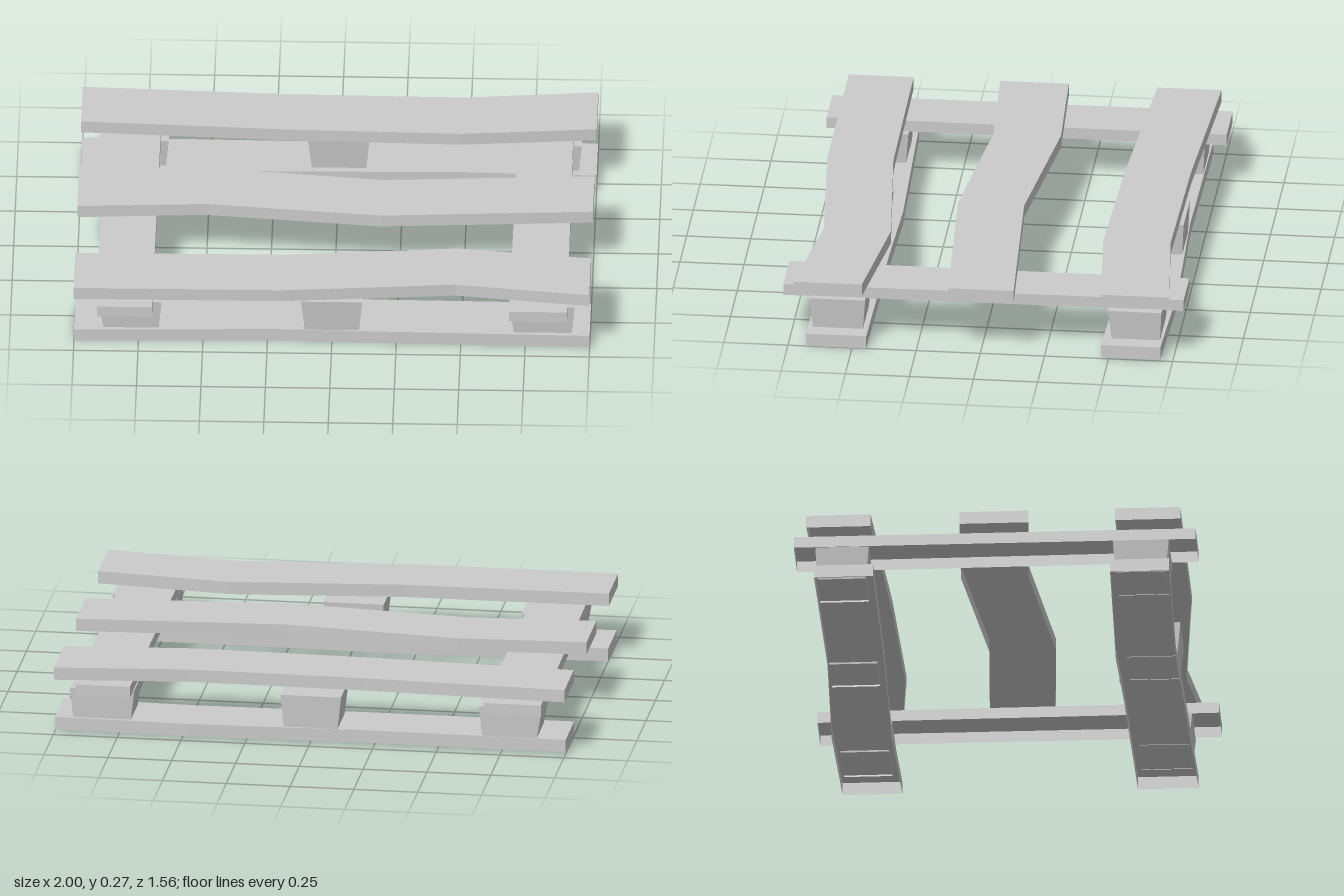
import * as THREE from 'three';

const material = new THREE.MeshStandardMaterial({
  color: 0xcccccc, flatShading: true, side: THREE.DoubleSide,
});

// Open-bottomed shell: outlines list [x, z] along the back edge left to right,
// then along the front edge right to left.
function shell(name, bottom, top, y0, y1) {
  const pos = [];
  const lo = bottom.map(([x, z]) => [x, y0, z]);
  const hi = top.map(([x, z]) => [x, y1, z]);
  const quad = (a, b, c, d) => pos.push(...a, ...b, ...c, ...a, ...c, ...d);
  const n = top.length;
  for (let i = 0; i < n; i++) {
    const j = (i + 1) % n;
    quad(lo[i], hi[i], hi[j], lo[j]);
  }
  for (let i = 0; i < n / 2 - 1; i++) {
    quad(hi[i], hi[n - 1 - i], hi[n - 2 - i], hi[i + 1]);
  }
  const geometry = new THREE.BufferGeometry();
  geometry.setAttribute('position', new THREE.Float32BufferAttribute(pos, 3));
  geometry.computeVertexNormals();
  const mesh = new THREE.Mesh(geometry, material);
  mesh.name = name;
  return mesh;
}

// Wavy plank from stations [x, back z, front z]
function plank(name, stations, y0, y1) {
  const back = stations.map(([x, b]) => [x, b]);
  const front = stations.map(([x, , f]) => [x, f]).reverse();
  const outline = [...back, ...front];
  return shell(name, outline, outline, y0, y1);
}

const rect = (x0, x1, z0, z1) => [[x0, z0], [x1, z0], [x1, z1], [x0, z1]];

export function createModel() {
  const group = new THREE.Group();
  group.name = 'pallet';

  // Deck boards on top
  group.add(
    plank('backDeckBoard', [[-1, -0.73, -0.48], [-0.2, -0.695, -0.44], [0.48, -0.687, -0.425], [1, -0.737, -0.47]], 0.22, 0.27),
    plank('middleDeckBoard', [[-1, -0.135, 0.133], [-0.5, -0.157, 0.105], [0.18, -0.085, 0.173], [1, -0.13, 0.125]], 0.22, 0.27),
    plank('frontDeckBoard', [[-1, 0.47, 0.723], [-0.2, 0.465, 0.722], [0.48, 0.403, 0.665], [1, 0.462, 0.729]], 0.22, 0.27),
  );

  // Cross boards under the deck, slightly tapered
  const rightCross = [[-0.915, -0.783], [-0.69, -0.783], [-0.695, 0.777], [-0.908, 0.777]];
  const leftCross = [[0.695, -0.783], [0.907, -0.783], [0.915, 0.777], [0.69, 0.777]];
  group.add(
    shell('rightCrossBoard', rightCross, rightCross, 0.175, 0.22),
    shell('leftCrossBoard', leftCross, leftCross, 0.175, 0.22),
  );

  // Bottom runners
  group.add(
    plank('frontRunner', [[-1, 0.45, 0.68], [-0.2, 0.427, 0.66], [0.2, 0.437, 0.668], [1, 0.445, 0.68]], 0, 0.052),
    plank('backRunner', [[-1, -0.7, -0.47], [-0.2, -0.693, -0.472], [0.48, -0.715, -0.483], [1, -0.702, -0.47]], 0.006, 0.057),
  );

  // Tapered spacer blocks: x range at the bottom, x range at the top
  const columns = [
    ['right', -0.885, -0.672, -0.907, -0.66],
    ['middle', -0.105, 0.105, -0.12, 0.118],
    ['left', 0.705, 0.93, 0.69, 0.942],
  ];
  // z range at the bottom, z range at the top
  const rows = [
    ['Front', 0.465, 0.66, 0.455, 0.673],
    ['Back', -0.693, -0.505, -0.7, -0.492],
  ];
  for (const [side, bx0, bx1, tx0, tx1] of columns) {
    for (const [end, bz0, bz1, tz0, tz1] of rows) {
      const top = side === 'middle' ? 0.188 : 0.177;
      group.add(shell(`${side}${end}Block`, rect(bx0, bx1, bz0, bz1), rect(tx0, tx1, tz0, tz1), 0.05, top));
    }
  }
  return group;
}
